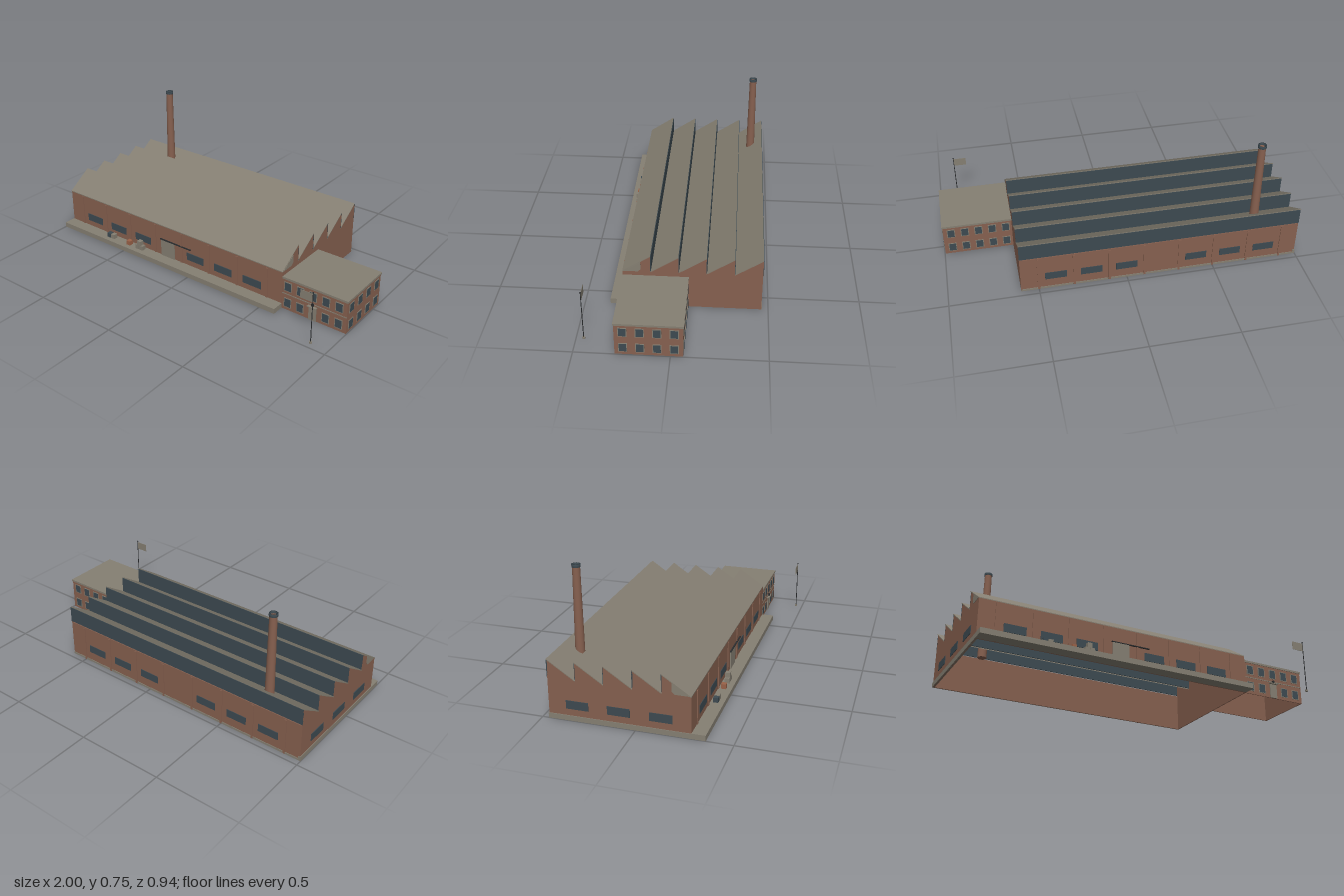
import * as THREE from 'three';

const mat = (name, color) => {
  const m = new THREE.MeshStandardMaterial({ color });
  m.name = name;
  return m;
};

export function createModel() {
  const brick = mat('brick', 0x86604f);
  const concrete = mat('concrete', 0x857f72);
  const glass = mat('glass', 0x3d4a51);
  const iron = mat('iron', 0x2b2d2f);
  const wood = mat('wood', 0x9a6248);
  const model = new THREE.Group();
  model.name = 'factory';

  const add = (parent, name, geo, material, x = 0, y = 0, z = 0) => {
    const mesh = new THREE.Mesh(geo, material);
    mesh.name = name;
    mesh.position.set(x, y, z);
    parent.add(mesh);
    return mesh;
  };
  // Box given by its minimum and maximum corners
  const box = (parent, name, m, x0, x1, y0, y1, z0, z1) =>
    add(parent, name, new THREE.BoxGeometry(x1 - x0, y1 - y0, z1 - z0), m,
      (x0 + x1) / 2, (y0 + y1) / 2, (z0 + z1) / 2);
  const group = (name) => {
    const g = new THREE.Group();
    g.name = name;
    model.add(g);
    return g;
  };

  const X0 = -0.996, X1 = 0.6, ZF = 0.288, ZB = -0.463, EAVE = 0.222, RIDGE = 0.322;
  const T = 0.006, TEETH = 5, PITCH = (ZF - ZB) / TEETH;

  // Main hall: long walls, open underneath
  const hall = group('hall');
  box(hall, 'frontWall', brick, X0, X1, 0, EAVE, ZF - T, ZF);
  box(hall, 'backWall', brick, X0, X1, 0, EAVE, ZB, ZB + T);

  // Sawtooth end walls
  const saw = new THREE.Shape();
  saw.moveTo(-ZF, 0);
  saw.lineTo(-ZF, EAVE);
  for (let i = 1; i <= TEETH; i++) {
    saw.lineTo(-ZF + i * PITCH, RIDGE);
    if (i < TEETH) saw.lineTo(-ZF + i * PITCH, EAVE);
  }
  saw.lineTo(-ZB, 0);
  const gable = new THREE.ExtrudeGeometry(saw, { depth: T, bevelEnabled: false });
  gable.rotateY(Math.PI / 2);
  add(hall, 'leftEndWall', gable, brick, X1 - T);
  add(hall, 'rightEndWall', gable, brick, X0);

  // Pale panels on the first tooth of each end wall
  const patch = new THREE.Shape([[-0.283, 0.226], [-0.19, 0.286], [-0.19, 0.24], [-0.205, 0.226]]
    .map(([a, b]) => new THREE.Vector2(a, b)));
  const patchGeo = new THREE.ExtrudeGeometry(patch, { depth: 0.002, bevelEnabled: false });
  patchGeo.rotateY(Math.PI / 2);
  add(hall, 'endPanel', patchGeo, concrete, X1);
  add(hall, 'endPanel', patchGeo, concrete, X0 - 0.002);

  // Roof slopes and upright roof glazing
  const roof = group('sawtoothRoof');
  const slope = new THREE.Shape([[0, 0], [PITCH, RIDGE - EAVE], [PITCH, RIDGE - EAVE + 0.005], [0, 0.005]]
    .map(([a, b]) => new THREE.Vector2(a, b)));
  const slopeGeo = new THREE.ExtrudeGeometry(slope, { depth: 1.6, bevelEnabled: false });
  slopeGeo.rotateY(Math.PI / 2);
  for (let i = 0; i < TEETH; i++) {
    const zf = ZF - i * PITCH, zr = zf - PITCH;
    add(roof, 'roofSlope', slopeGeo, concrete, -1, EAVE, zf);
    box(roof, 'roofGlazing', glass, X0, X1, EAVE + 0.007, RIDGE, zr - 0.003, zr + 0.003);
  }

  // Pilasters and long windows on both long walls
  for (const [z, s] of [[ZF, 1], [ZB, -1]]) {
    for (let k = 0; k < 8; k++) {
      const x = -0.9 + 0.2 * k;
      add(hall, 'pilaster', new THREE.BoxGeometry(0.012, 0.215, 0.005), brick, x, 0.1075, z + s * 0.002);
    }
    for (const x of [-0.8, -0.6, -0.4, 0, 0.2, 0.4])
      add(hall, 'hallWindow', new THREE.BoxGeometry(0.122, 0.046, 0.006), glass, x + 0.002, 0.088, z);
  }
  for (let k = -1; k <= 1; k++)
    add(hall, 'endWindow', new THREE.BoxGeometry(0.006, 0.046, 0.12), glass, X0, 0.088, -0.088 + k * 0.22);

  // Base course
  box(hall, 'basePlinth', concrete, -1, X0 + 0.01, 0, 0.028, ZB - 0.003, ZF);
  box(hall, 'basePlinth', concrete, -1, X1, 0, 0.012, ZB - 0.003, ZB);

  // Sliding door with rail
  const door = group('slidingDoor');
  box(door, 'doorLeaf', concrete, -0.252, -0.152, 0.03, 0.135, ZF, ZF + 0.006);
  box(door, 'doorRail', iron, -0.258, -0.03, 0.134, 0.139, ZF, ZF + 0.008);

  // Loading dock and its goods
  const dock = group('loadingDock');
  box(dock, 'dockPlatform', concrete, -1, 0.6, 0, 0.03, ZF, 0.36);
  for (const [x, y, m] of [[-0.648, 0.03, glass], [-0.617, 0.03, concrete], [-0.487, 0.03, wood],
    [-0.415, 0.03, concrete], [-0.385, 0.03, concrete], [-0.4, 0.057, concrete]])
    box(dock, 'crate', m, x - 0.013, x + 0.013, y, y + 0.027, 0.303, 0.33);

  // Office block, open underneath
  const office = group('office');
  const OX = 0.996, OB = -0.065, OF = 0.285;
  box(office, 'officeFront', brick, X1, OX, 0, 0.19, OF - T, OF);
  box(office, 'officeBack', brick, X1, OX, 0, 0.19, OB, OB + T);
  box(office, 'officeSide', brick, OX - T, OX, 0, 0.19, OB, OF);
  box(office, 'officeRoof', concrete, X1, 1, 0.188, 0.2, OB - 0.004, OF + 0.004);
  box(office, 'stringCourse', concrete, X1, OX, 0.096, 0.101, OF, OF + 0.002);

  // Framed windows: thin plate on a slightly larger frame
  const officeWindow = (x, y, z, side) => {
    const g = new THREE.Group();
    g.name = 'officeWindow';
    add(g, 'frame', new THREE.BoxGeometry(0.046, 0.056, 0.005), concrete);
    add(g, 'pane', new THREE.BoxGeometry(0.038, 0.048, 0.007), glass);
    g.position.set(x, y, z);
    if (side) g.rotation.y = Math.PI / 2;
    office.add(g);
  };
  for (const y of [0.045, 0.145]) {
    for (let k = 0; k < 5; k++) {
      const x = 0.636 + k * 0.0785;
      if (k !== 2 || y > 0.1) officeWindow(x, y, OF, false);
      officeWindow(x, y, OB, false);
    }
    for (let k = 0; k < 4; k++) officeWindow(OX, y, 0.242 - k * 0.0875, true);
  }
  // Entrance
  box(office, 'entranceDoor', concrete, 0.77, 0.816, 0, 0.083, OF, OF + 0.005);
  box(office, 'entranceCanopy', concrete, 0.765, 0.821, 0.083, 0.088, OF, OF + 0.016);
  box(office, 'entranceLamp', iron, 0.788, 0.8, 0.091, 0.105, OF, OF + 0.01);

  // Chimney with hollow dark cap
  const chimney = group('chimney');
  const ring = (pts) => new THREE.LatheGeometry(pts.map(([r, y]) => new THREE.Vector2(r, y)), 20);
  add(chimney, 'chimneyShaft', new THREE.CylinderGeometry(0.0205, 0.0265, 0.535, 20), brick, -0.75, 0.4675, -0.39);
  add(chimney, 'chimneyCap', ring([[0.0205, 0.733], [0.0235, 0.733], [0.0235, 0.748], [0.017, 0.748], [0.017, 0.736]]),
    glass, -0.75, 0, -0.39);

  // Flagpole
  const flag = group('flagpole');
  const FX = 0.893, FZ = 0.46;
  add(flag, 'poleBase', new THREE.CylinderGeometry(0.008, 0.008, 0.01, 12), concrete, FX, 0.005, FZ);
  add(flag, 'pole', new THREE.CylinderGeometry(0.002, 0.0025, 0.29, 8), iron, FX, 0.155, FZ);
  add(flag, 'finial', new THREE.SphereGeometry(0.004, 10, 8), iron, FX, 0.302, FZ);
  box(flag, 'flag', concrete, 0.819, FX, 0.247, 0.295, FZ - 0.001, FZ + 0.001);

  return model;
}
